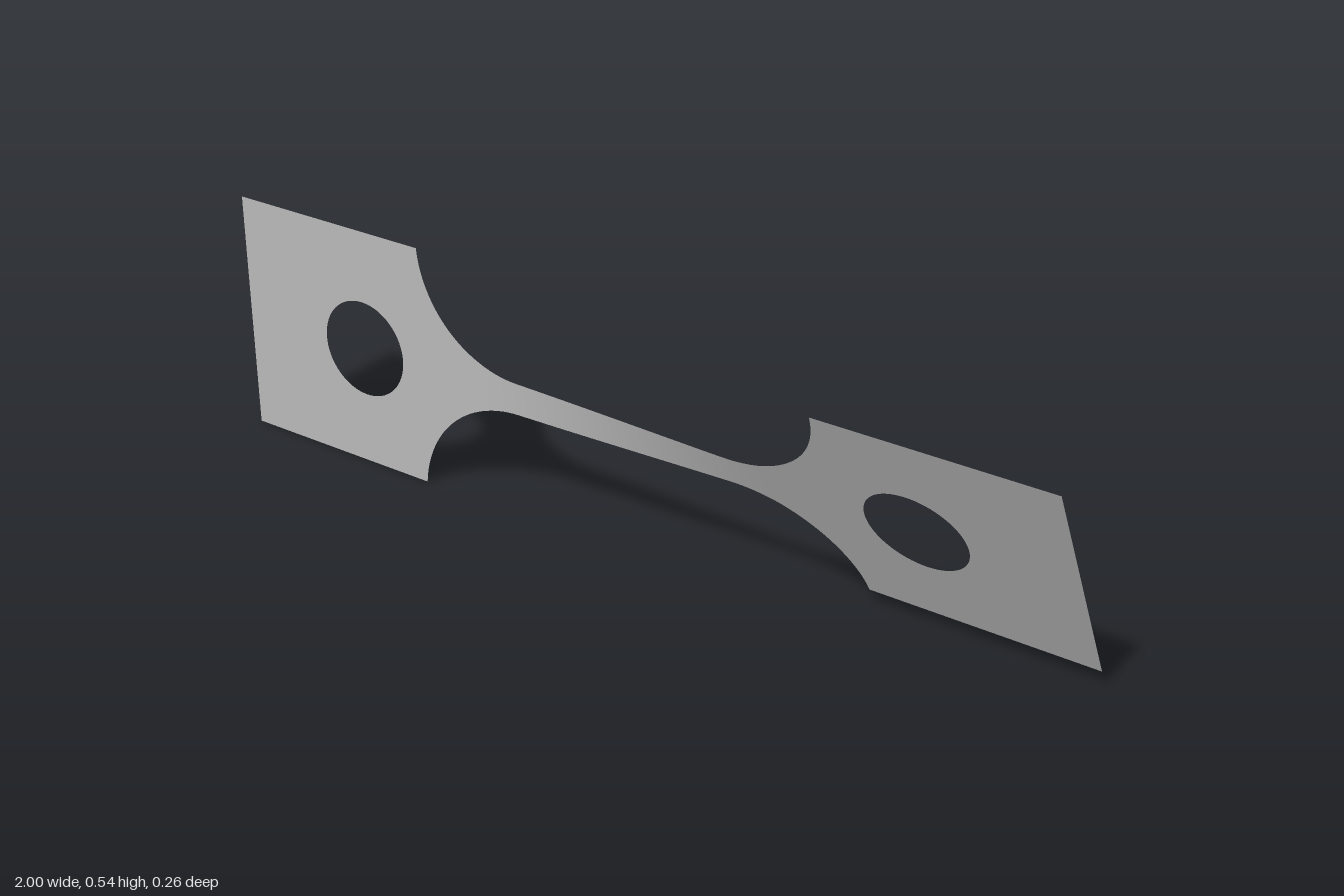
import * as THREE from 'three';

const HALF_H = 0.27;      // half height of the end tabs
const NECK_H = 0.036;     // half height of the narrow strip
const TAB_X = 0.509;      // inner edge of the tabs
const FILLET = 0.255;     // radius of the curved shoulders
const TWIST_START = THREE.MathUtils.degToRad(0.6);
const TWIST_END = THREE.MathUtils.degToRad(28.2);

// Half height of the sheet at x: straight strip, then round shoulders
function halfHeight(x) {
  const d = Math.max(0, Math.abs(x) - (TAB_X - FILLET + 0.001));
  return Math.min(HALF_H, NECK_H + FILLET - Math.sqrt(Math.max(0, FILLET * FILLET - d * d)));
}

// Twist about the long axis, accumulating mostly along the strip
function twist(x) {
  const t = THREE.MathUtils.clamp((x + 0.35) / 0.7, 0, 1);
  const eased = 0.6 * t + 0.4 * t * t * (3 - 2 * t);
  return THREE.MathUtils.lerp(TWIST_START, TWIST_END, eased);
}

export function createModel() {
  const model = new THREE.Group();
  model.name = 'twistedTestStrip';
  const metal = new THREE.MeshStandardMaterial({ color: 0xb8b8b8, side: THREE.DoubleSide });
  metal.name = 'grey metal';

  // Flat square tabs with a round hole
  for (const side of [-1, 1]) {
    const shape = new THREE.Shape();
    shape.moveTo(TAB_X, -HALF_H);
    shape.lineTo(1, -HALF_H);
    shape.lineTo(1, HALF_H);
    shape.lineTo(TAB_X, HALF_H);
    shape.closePath();
    const hole = new THREE.Path();
    hole.absarc(0.669, 0, 0.108, 0, Math.PI * 2, true);
    shape.holes.push(hole);
    const geometry = new THREE.ShapeGeometry(shape, 32);
    if (side < 0) geometry.rotateZ(Math.PI);
    const tab = new THREE.Mesh(geometry, metal);
    tab.name = side < 0 ? 'rightTab' : 'leftTab';
    tab.rotation.x = twist(side);
    tab.position.y = 0.271;
    model.add(tab);
  }

  // Twisted strip with shoulders, finer sampled toward the steep ends
  const geometry = new THREE.PlaneGeometry(2, 2, 96, 6);
  const p = geometry.attributes.position;
  for (let i = 0; i < p.count; i++) {
    const x = TAB_X * Math.sin(p.getX(i) * Math.PI / 2);
    const h = p.getY(i) * halfHeight(x);
    const a = twist(x);
    p.setXYZ(i, x, h * Math.cos(a), h * Math.sin(a));
  }
  geometry.computeVertexNormals();
  const strip = new THREE.Mesh(geometry, metal);
  strip.name = 'twistedStrip';
  strip.position.y = 0.271;
  model.add(strip);

  return model;
}
